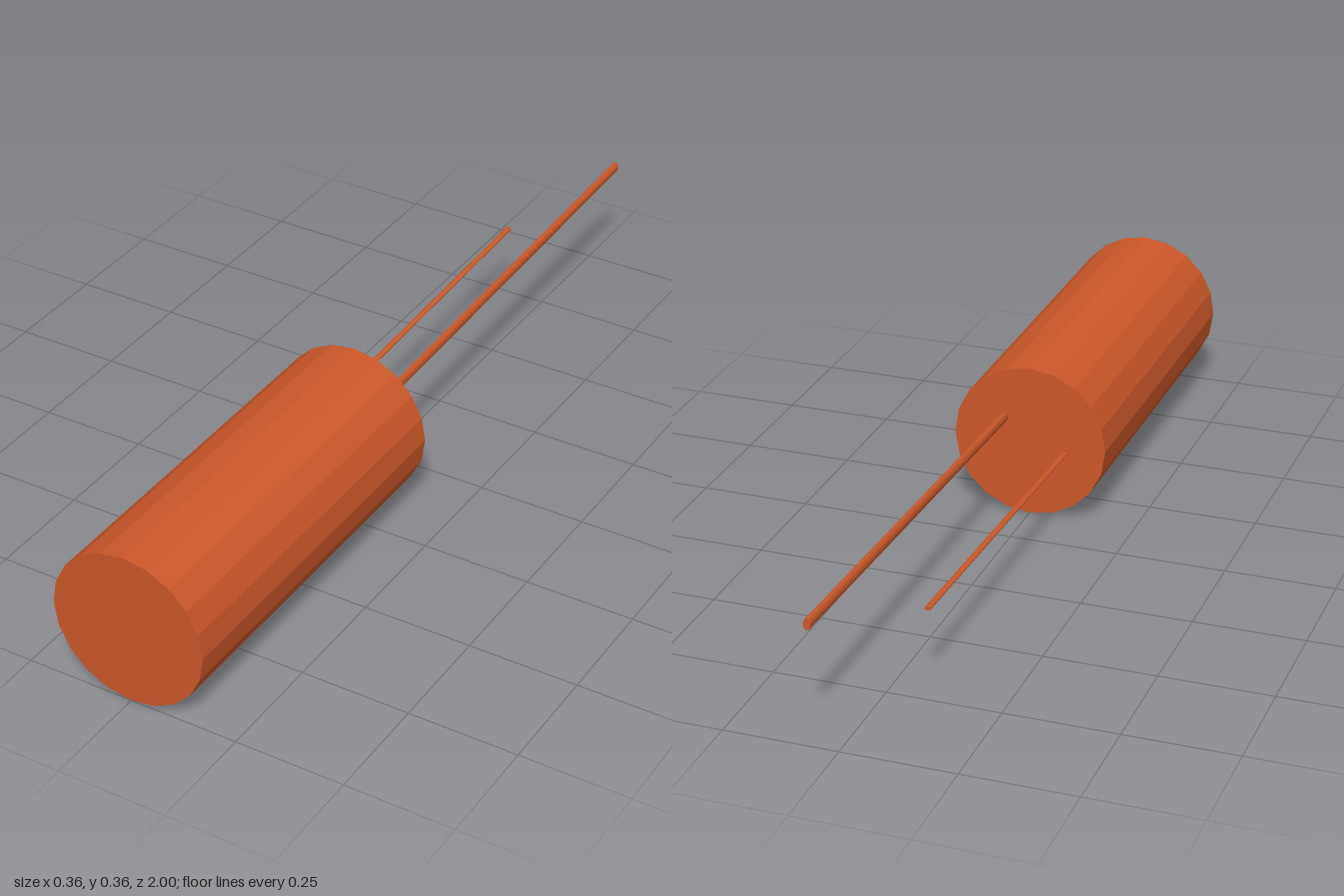
import * as THREE from 'three';

export function createModel() {
  const group = new THREE.Group();
  const material = new THREE.MeshStandardMaterial({ color: 0xcc5829, flatShading: true });
  const backZ = 0.13; // rear face of the body

  const add = (name, geometry) => {
    const mesh = new THREE.Mesh(geometry, material);
    mesh.name = name;
    group.add(mesh);
  };

  // Cylindrical body lying along z
  const radius = 0.179;
  const length = 1 - backZ;
  add('body', new THREE.CylinderGeometry(radius, radius, length, 20)
    .rotateX(Math.PI / 2)
    .translate(0, radius, backZ + length / 2));

  // Oval wire lead running backwards, sheared upwards so its ends stay upright
  const lead = (name, x, width, height, startY, endY, endZ) => {
    const run = backZ - endZ;
    const slope = (startY - endY) / run;
    const shear = new THREE.Matrix4().set(
      1, 0, 0, x,
      0, 1, slope, (startY + endY) / 2,
      0, 0, 1, (backZ + endZ) / 2,
      0, 0, 0, 1);
    add(name, new THREE.CylinderGeometry(0.5, 0.5, run, 12)
      .rotateX(Math.PI / 2)
      .scale(width, height, 1)
      .applyMatrix4(shear));
  };
  lead('longLead', 0.06, 0.016, 0.026, 0.232, 0.272, -1);
  lead('shortLead', -0.083, 0.014, 0.009, 0.161, 0.195, -0.725);

  return group;
}
